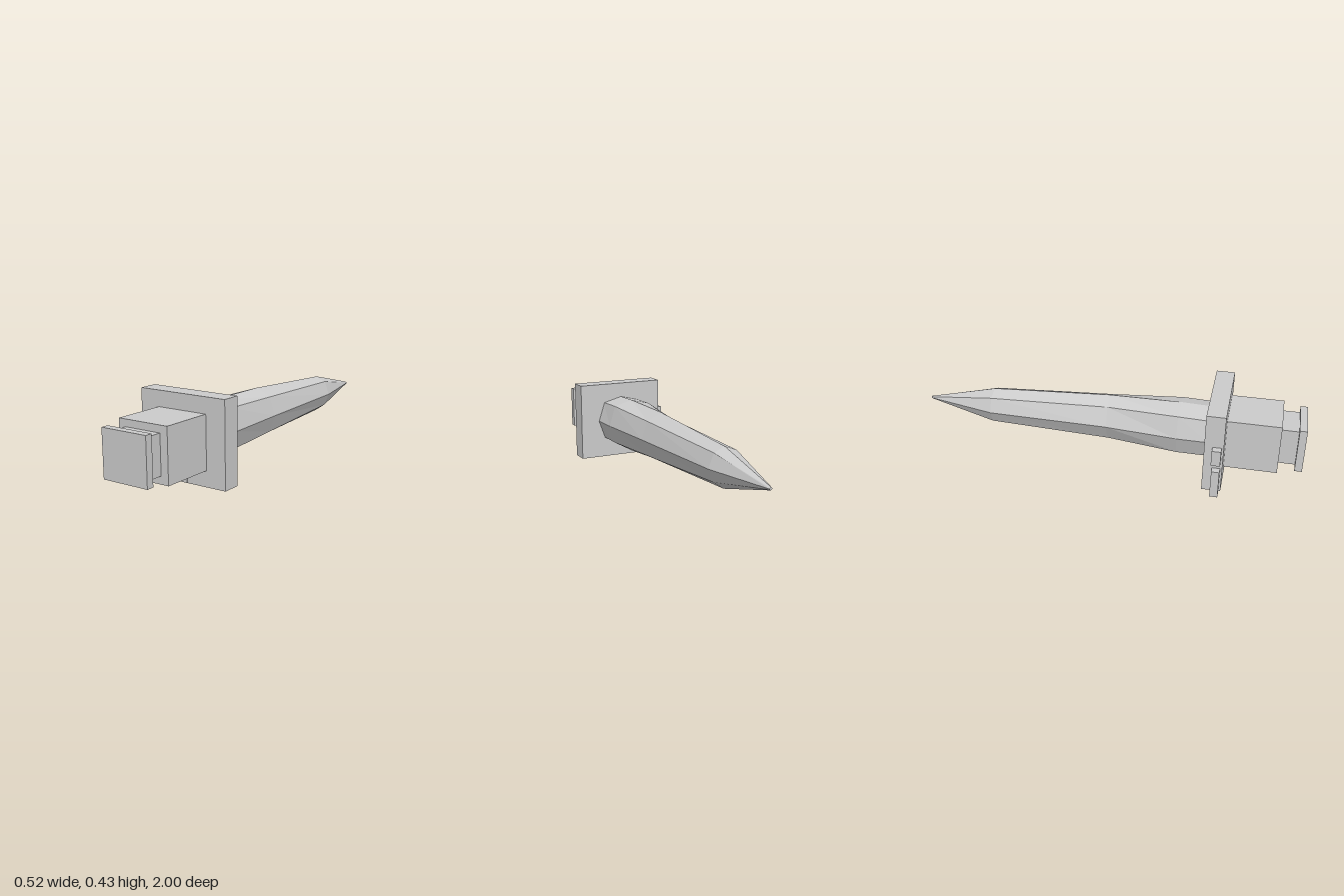
import * as THREE from 'three';

const material = new THREE.MeshStandardMaterial({ color: 0xcccccc, flatShading: true });

// Box given by its lower and upper corners
function block(name, [x0, y0, z0], [x1, y1, z1]) {
  const mesh = new THREE.Mesh(new THREE.BoxGeometry(x1 - x0, y1 - y0, z1 - z0), material);
  mesh.position.set((x0 + x1) / 2, (y0 + y1) / 2, (z0 + z1) / 2);
  mesh.name = name;
  return mesh;
}

// Eight-sided blade lofted through cross-sections
function bladeGeometry() {
  const cx = 0.017, cy = 0.223;
  // z, left x, right x, bottom y, top y, diagonal x (left, right), diagonal y (bottom, top)
  const sections = [
    [0.53, -0.12, 0.155, 0.076, 0.355, -0.088, 0.12, 0.125, 0.328],
    [0.37, -0.12, 0.152, 0.068, 0.36, -0.088, 0.12, 0.125, 0.333],
    [0.0, -0.087, 0.13, 0.097, 0.357, -0.045, 0.098, 0.135, 0.318],
    [-0.63, -0.077, 0.1, 0.12, 0.32, -0.048, 0.072, 0.158, 0.295],
    [-1.0, 0.009, 0.025, 0.216, 0.23, 0.012, 0.022, 0.219, 0.227],
  ];
  const rings = sections.map(([z, l, r, b, t, dl, dr, db, dt]) =>
    [[r, cy], [dr, dt], [cx, t], [dl, dt], [l, cy], [dl, db], [cx, b], [dr, db]]
      .map(([x, y]) => [x, y, z]));
  const pos = [];
  const tri = (...p) => p.forEach((v) => pos.push(...v));
  for (let i = 0; i < rings.length - 1; i++) {
    for (let j = 0; j < 8; j++) {
      const k = (j + 1) % 8;
      const a = rings[i][j], b = rings[i + 1][j], c = rings[i + 1][k], d = rings[i][k];
      tri(a, b, d);
      tri(b, c, d);
    }
  }
  // Close the blunt tip
  const tip = rings[rings.length - 1];
  for (let j = 1; j < 7; j++) tri(tip[0], tip[j + 1], tip[j]);
  const geometry = new THREE.BufferGeometry();
  geometry.setAttribute('position', new THREE.Float32BufferAttribute(pos, 3));
  geometry.computeVertexNormals();
  return geometry;
}

export function createModel() {
  const model = new THREE.Group();
  model.name = 'dagger';

  const blade = new THREE.Mesh(bladeGeometry(), material);
  blade.name = 'blade';
  model.add(blade);

  // Guard plate and stepped hilt
  model.add(
    block('guard', [-0.223, 0.013, 0.52], [0.26, 0.434, 0.615]),
    block('grip', [-0.118, 0.092, 0.61], [0.155, 0.355, 0.88]),
    block('neck', [-0.08, 0.13, 0.875], [0.115, 0.32, 0.97]),
    block('pommel', [-0.105, 0.108, 0.963], [0.143, 0.34, 1.0]),
  );

  // Small fittings around the guard's edge
  model.add(
    block('upperSideTab', [-0.26, 0.183, 0.56], [-0.22, 0.265, 0.605]),
    block('lowerSideTab', [-0.26, 0, 0.565], [-0.223, 0.147, 0.605]),
    block('bottomTab', [-0.224, 0, 0.565], [-0.09, 0.014, 0.605]),
    block('guardStrip', [-0.007, 0.014, 0.6], [0.043, 0.092, 0.617]),
  );
  return model;
}
